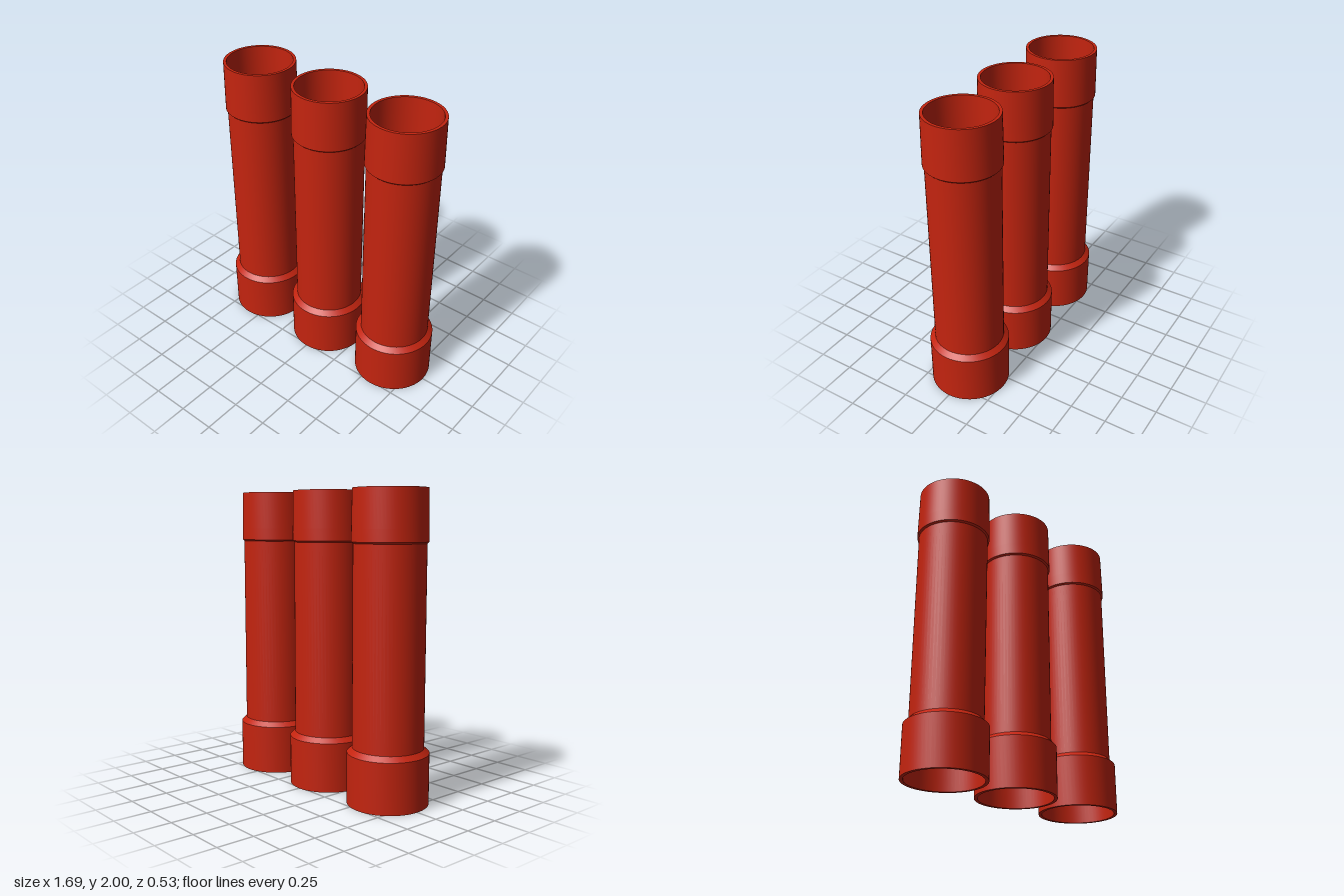
import * as THREE from 'three';
import { toCreasedNormals } from 'three/addons/utils/BufferGeometryUtils.js';

const SPACING = 0.582;

// Wall section [radius, height]: up the outside, then down the inside.
const WALL = [
  [0.243, 0], [0.265, 0],        // socket mouth
  [0.265, 0.335], [0.231, 0.367], // socket wall and shoulder
  [0.231, 1.66], [0.242, 1.67],  // shaft, underside of collar
  [0.241, 1.75], [0.237, 2],     // tapered collar
  [0.217, 2],                    // top rim
  [0.217, 0.34], [0.243, 0.33],  // bore and step into the socket
  [0.243, 0],
];

export function createModel() {
  const group = new THREE.Group();
  group.name = 'pipeSet';
  const red = new THREE.MeshStandardMaterial({ color: 0xc4240f });
  red.name = 'red';

  const profile = WALL.map(([r, y]) => new THREE.Vector2(r, y));
  const geometry = toCreasedNormals(new THREE.LatheGeometry(profile, 64), 0.4);

  // Three identical hollow pipes in a row
  ['rightPipe', 'middlePipe', 'leftPipe'].forEach((name, i) => {
    const pipe = new THREE.Mesh(geometry, red);
    pipe.name = name;
    pipe.position.x = (i - 1) * SPACING;
    group.add(pipe);
  });
  return group;
}
